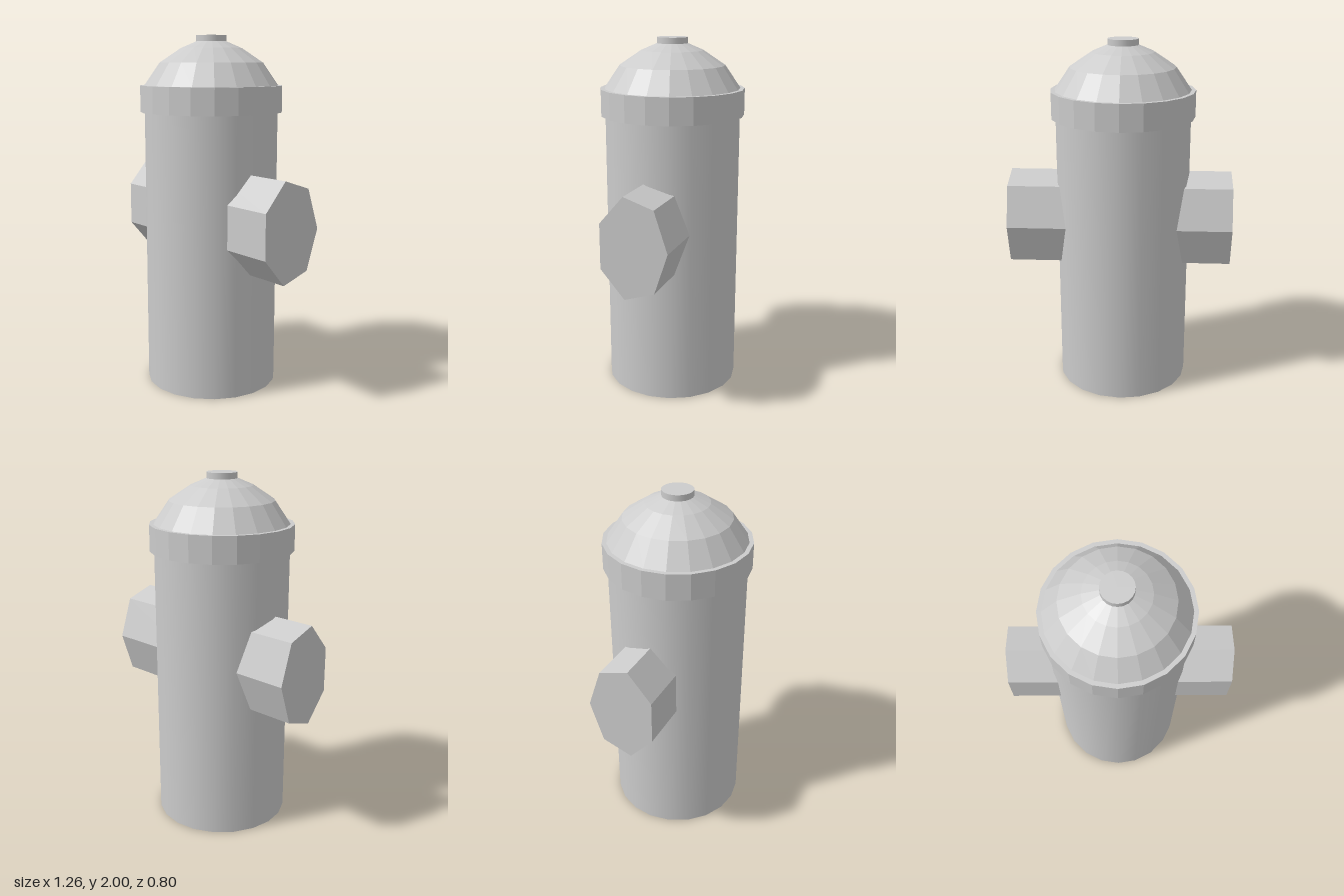
import * as THREE from 'three';

const SIDES = 20;
const AXIS_X = -0.012; // the barrel sits slightly off centre

export function createModel() {
  const group = new THREE.Group();
  group.name = 'hydrant';
  const smooth = new THREE.MeshStandardMaterial({ color: 0xcccccc });
  const flat = new THREE.MeshStandardMaterial({ color: 0xcccccc, flatShading: true });

  function add(name, geometry, material, x, y, z) {
    const mesh = new THREE.Mesh(geometry, material);
    mesh.name = name;
    mesh.position.set(x, y, z);
    group.add(mesh);
  }

  // Upright drum between two heights
  function drum(name, radius, y0, y1, material) {
    const geometry = new THREE.CylinderGeometry(radius, radius, y1 - y0, SIDES);
    add(name, geometry, material, AXIS_X, (y0 + y1) / 2, 0);
  }

  drum('barrel', 0.378, 0, 1.725, smooth);
  drum('collar', 0.402, 1.577, 1.725, flat);
  drum('topKnob', 0.085, 1.955, 2, smooth);

  // Faceted bonnet
  const profile = [[0.378, 1.725], [0.292, 1.85], [0.172, 1.93], [0.085, 1.967], [0, 1.967]]
    .map(([r, y]) => new THREE.Vector2(r, y));
  add('bonnet', new THREE.LatheGeometry(profile, SIDES), flat, AXIS_X, 0, 0);

  // Seven-sided side outlets, stretched upright, with a corner to the back
  for (const [name, side] of [['leftOutlet', 1], ['rightOutlet', -1]]) {
    const outlet = new THREE.CylinderGeometry(1, 1, 0.63, 7, 1, false, Math.PI);
    outlet.rotateZ(Math.PI / 2);
    outlet.scale(1, 0.285, 0.197);
    add(name, outlet, flat, side * 0.315, 0.978, -0.018);
  }

  return group;
}
